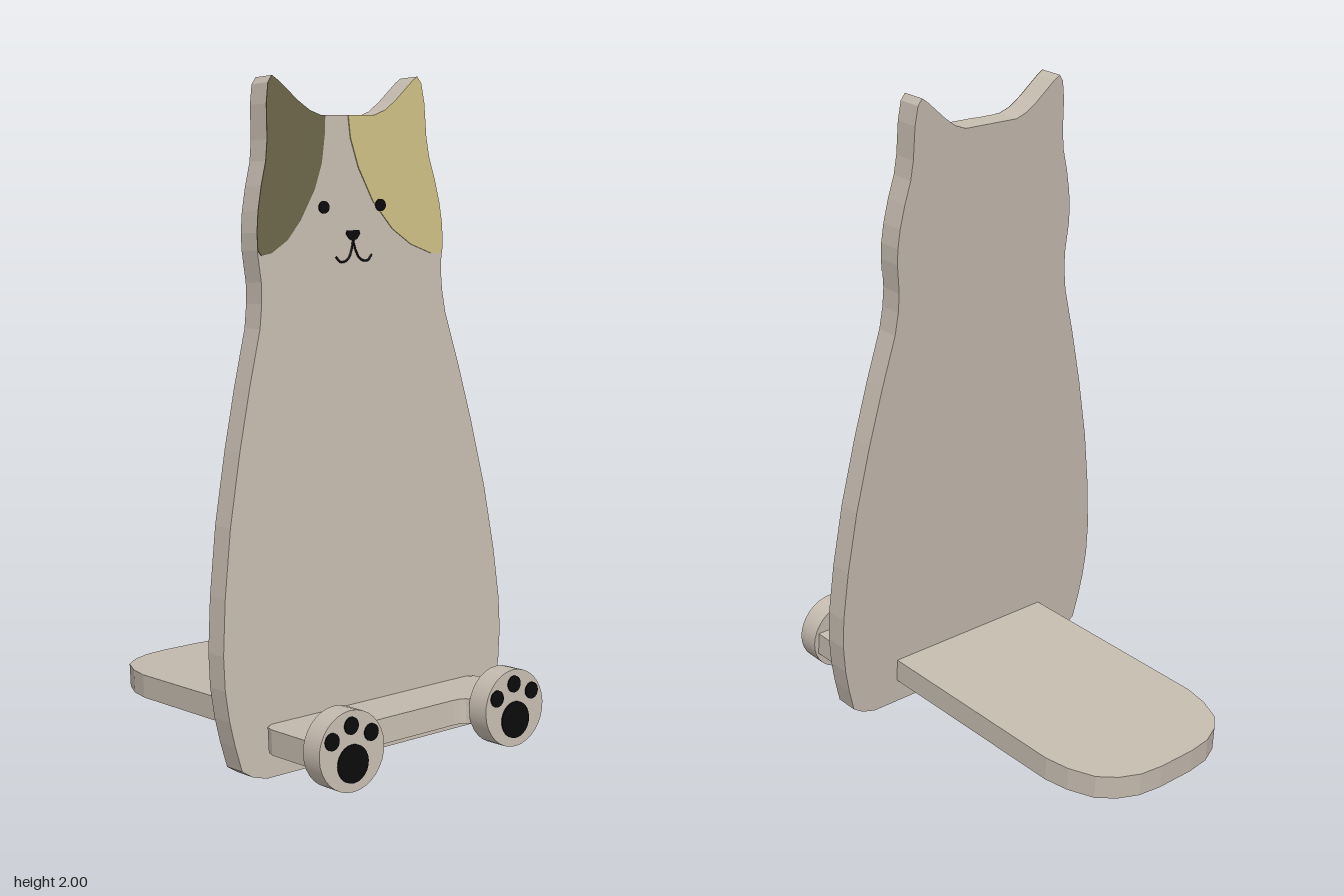
import * as THREE from 'three';

const mat = (name, color, side = THREE.FrontSide) => {
  const m = new THREE.MeshStandardMaterial({ color, side });
  m.name = name;
  return m;
};

export function createModel() {
  const wood = mat('pale wood', 0xc5bbaf);
  const olive = mat('olive patch', 0x6b6448);
  const yellow = mat('yellow patch', 0xcdbe84);
  const black = mat('black paint', 0x0a0a0a);

  const root = new THREE.Group();
  root.name = 'catStand';

  // Everything leans back together; the origin is the panel's front bottom edge
  const stand = new THREE.Group();
  stand.name = 'leaningStand';
  stand.rotation.x = -0.0733;
  stand.position.set(0, 0.006, 0.37);
  root.add(stand);

  const T = 0.075; // board thickness
  const add = (name, geometry, material, parent = stand) => {
    const mesh = new THREE.Mesh(geometry, material);
    mesh.name = name;
    parent.add(mesh);
    return mesh;
  };
  const shapeOf = (pts) => new THREE.Shape(pts.map(([x, y]) => new THREE.Vector2(x, y)));
  const extrude = (shape, depth, z = 0) =>
    new THREE.ExtrudeGeometry(shape, { depth, bevelEnabled: false, curveSegments: 12 }).translate(0, 0, z);
  const mirror = (pts) => pts.map(([x, y]) => [-x, y]);
  const outline = (half) => shapeOf([...half, ...mirror(half).reverse()]);

  // Cat-shaped back panel: lower flank, then head and ear
  const flank = [
    [0.4, 0], [0.45, 0.015], [0.485, 0.038], [0.505, 0.115], [0.52, 0.19], [0.53, 0.28],
    [0.53, 0.38], [0.515, 0.54], [0.485, 0.74], [0.44, 0.95], [0.395, 1.13], [0.35, 1.29],
    [0.34, 1.36], [0.338, 1.42],
  ];
  const head = [
    [0.343, 1.47], [0.347, 1.51], [0.347, 1.56], [0.34, 1.62], [0.325, 1.69], [0.305, 1.76],
    [0.297, 1.82], [0.294, 1.92], [0.285, 1.978], [0.27, 1.998], [0.25, 1.985], [0.18, 1.927],
    [0.14, 1.9], [0.1, 1.886],
  ];
  add('backPanel', extrude(outline([...flank, ...head]), T, -T), wood);

  // Painted head patches follow the panel's edge
  const patch = (name, edge, inner, material) =>
    add(name, extrude(shapeOf([...edge, ...inner]), 0.003), material);
  patch('rightEarPatch', mirror(head.slice(1)), [
    [-0.085, 1.886], [-0.09, 1.83], [-0.105, 1.75], [-0.135, 1.675], [-0.19, 1.59],
    [-0.24, 1.535], [-0.3, 1.5], [-0.335, 1.495],
  ], olive);
  patch('leftEarPatch', head, [
    [0, 1.886], [0.005, 1.82], [0.03, 1.735], [0.08, 1.635], [0.15, 1.552],
    [0.22, 1.503], [0.3, 1.472],
  ], yellow);

  // Flat painted ellipse
  const spot = (name, x, y, z, rx, ry, parent) => {
    const s = new THREE.Shape();
    s.absellipse(0, 0, rx, ry, 0, Math.PI * 2);
    add(name, extrude(s, 0.004), black, parent).position.set(x, y, z);
  };

  // Face
  for (const side of [-1, 1]) {
    spot(side < 0 ? 'rightEye' : 'leftEye', side * 0.106, 1.623, 0.003, 0.019, 0.018);
    const curve = new THREE.CatmullRomCurve3(
      [[0, 1.525], [0.008, 1.495], [0.024, 1.469], [0.05, 1.463], [0.068, 1.48]]
        .map(([x, y]) => new THREE.Vector3(side * x, y, 0)));
    add(side < 0 ? 'rightMouth' : 'leftMouth', new THREE.TubeGeometry(curve, 16, 0.0035, 6), black);
  }
  const nose = shapeOf([[-0.022, 1.553], [0.022, 1.553], [0.026, 1.543], [0.014, 1.528],
    [0, 1.522], [-0.014, 1.528], [-0.026, 1.543]]);
  add('nose', extrude(nose, 0.004), black);

  // Base board: rounded tail, narrow neck through the panel, wide notched front.
  // Points are [x, -z] because the shape is laid flat.
  const base = extrude(outline([
    [0.065, 1.025], [0.145, 1.015], [0.21, 0.985], [0.26, 0.94], [0.295, 0.86], [0.31, 0.78],
    [0.31, 0], [0.375, 0], [0.4, -0.015], [0.41, -0.045], [0.41, -0.215], [0.205, -0.215],
    [0.195, -0.2], [0.18, -0.19], [0.155, -0.187],
  ]), T).rotateX(-Math.PI / 2).translate(0, 0.08, 0);
  add('baseBoard', base, wood);

  // Paws with pads
  for (const side of [-1, 1]) {
    const paw = new THREE.Group();
    paw.name = side < 0 ? 'rightPaw' : 'leftPaw';
    paw.position.set(side * 0.311, 0.12, 0.213);
    stand.add(paw);
    add('pawDisc', new THREE.CylinderGeometry(0.116, 0.116, 0.073, 32).rotateX(Math.PI / 2), wood, paw)
      .position.z = 0.0365;
    spot('mainPad', 0, -0.035, 0.073, 0.055, 0.055, paw);
    for (const [x, y] of [[-0.07, 0.041], [0, 0.073], [0.07, 0.041]])
      spot('toePad', x, y, 0.073, 0.025, 0.025, paw);
  }
  return root;
}
